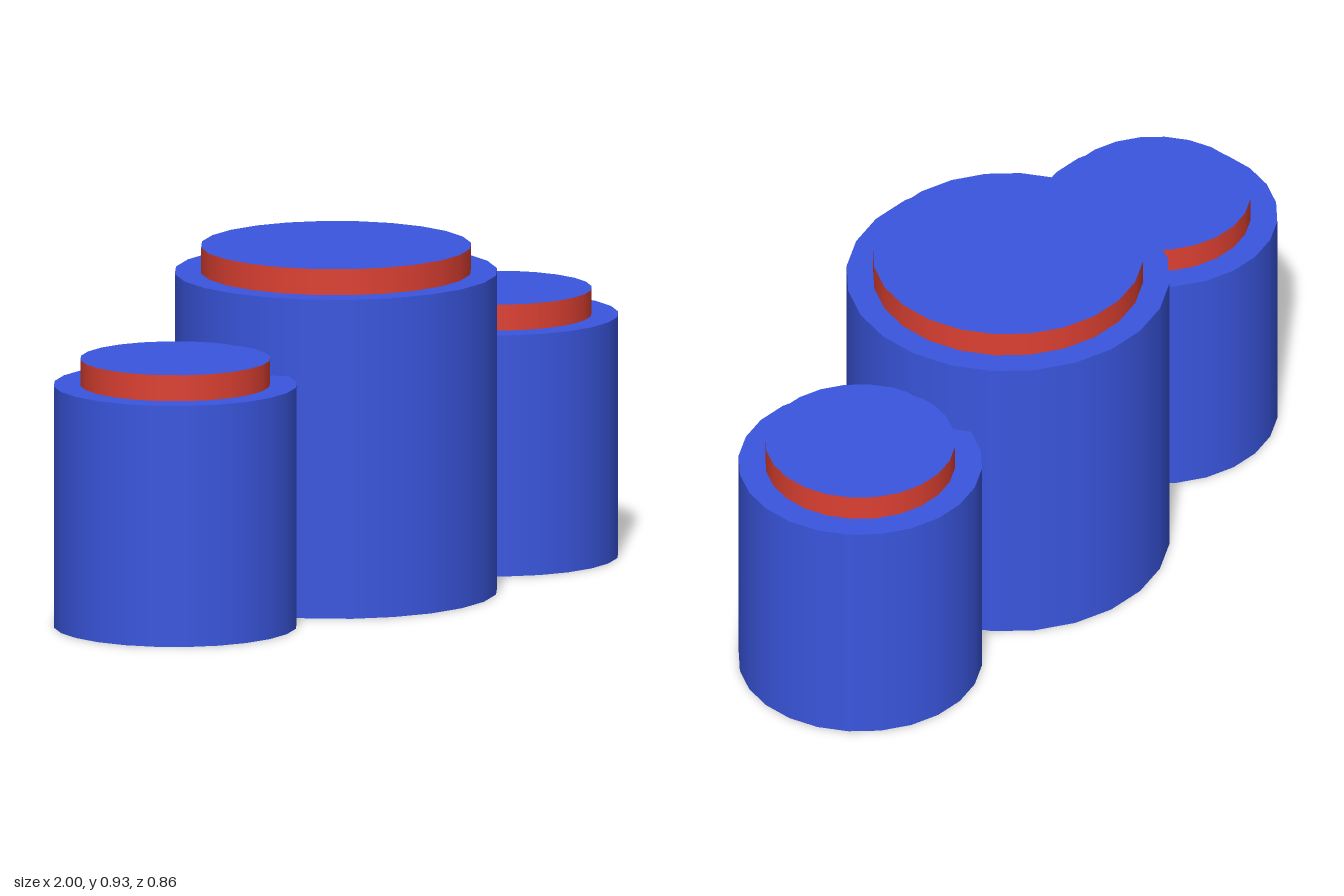
import * as THREE from 'three';

const SIDES = 24;

export function createModel() {
  const blue = new THREE.MeshStandardMaterial({ color: 0x3a56df, side: THREE.DoubleSide });
  blue.name = 'blue';
  const red = new THREE.MeshStandardMaterial({ color: 0xdd4032, side: THREE.DoubleSide });
  red.name = 'red';

  const add = (group, name, geometry, material, y) => {
    const mesh = new THREE.Mesh(geometry, material);
    mesh.name = name;
    mesh.position.y = y;
    group.add(mesh);
  };

  // Open-bottomed drum with a flat rim, a red band and a blue lid
  const drum = (name, x, radius, bandRadius, height) => {
    const bandHeight = 0.07;
    const group = new THREE.Group();
    group.name = name;
    group.position.x = x;
    add(group, 'wall', new THREE.CylinderGeometry(radius, radius, height, SIDES, 1, true), blue, height / 2);
    add(group, 'rim', new THREE.RingGeometry(bandRadius, radius, SIDES).rotateX(-Math.PI / 2), blue, height);
    add(group, 'band', new THREE.CylinderGeometry(bandRadius, bandRadius, bandHeight, SIDES, 1, true), red, height + bandHeight / 2);
    add(group, 'lid', new THREE.CircleGeometry(bandRadius, SIDES).rotateX(-Math.PI / 2), blue, height + bandHeight);
    return group;
  };

  const model = new THREE.Group();
  model.name = 'threeDrums';
  model.add(
    drum('centreDrum', 0, 0.43, 0.36, 0.86),
    drum('leftDrum', 0.676, 0.324, 0.253, 0.65),
    drum('rightDrum', -0.676, 0.324, 0.253, 0.65),
  );
  return model;
}
